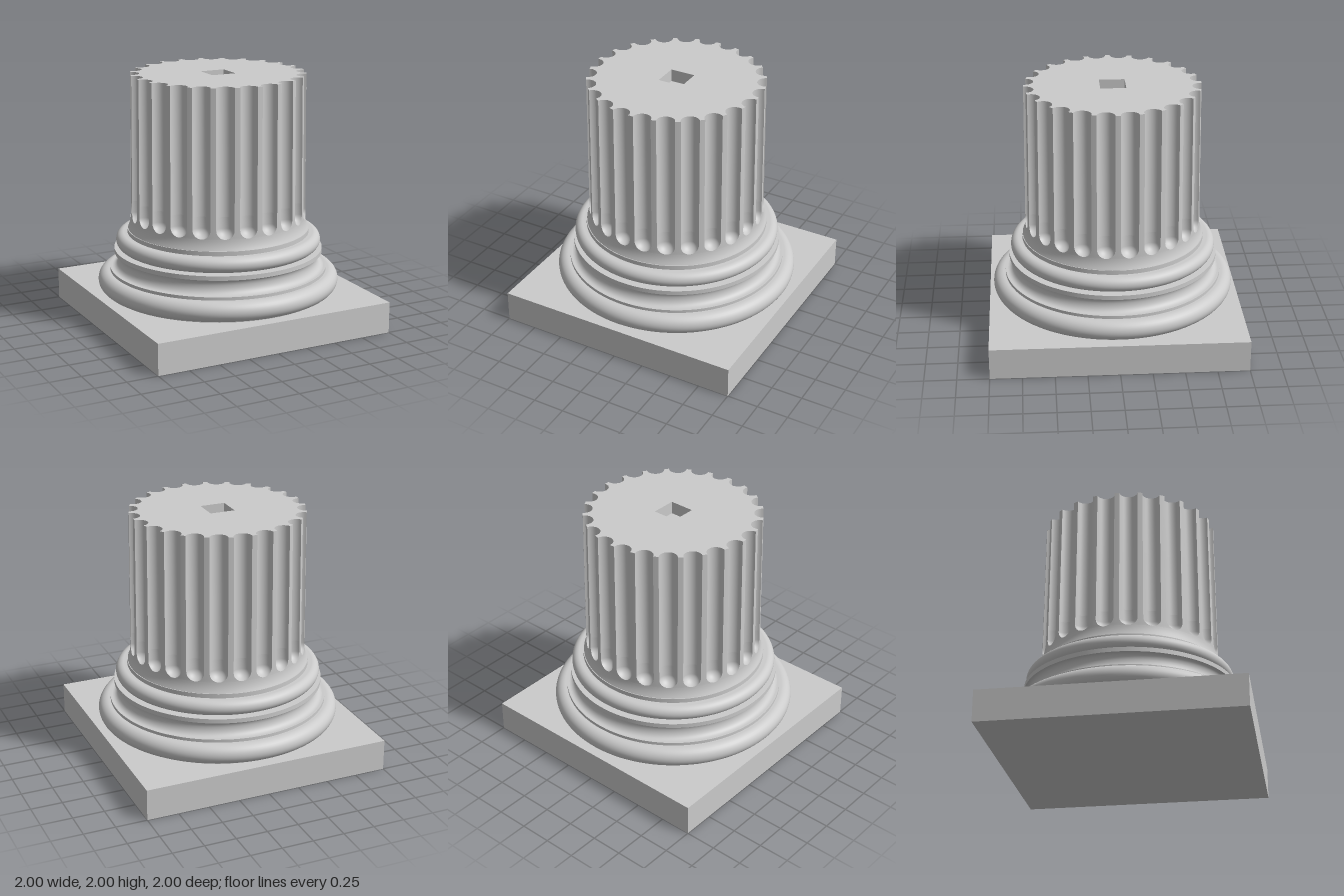
import * as THREE from 'three';
import { mergeVertices, mergeGeometries } from 'three/addons/utils/BufferGeometryUtils.js';

const material = new THREE.MeshStandardMaterial({ color: 0xcccccc });
const FLUTES = 24;
const STEP = (Math.PI * 2) / FLUTES;
const W = 0.07; // flute radius
const END_Y = 0.91; // centre of the round flute ends

// Shaft radius: slight taper upward, flaring out at the foot
const shaftRadius = (y) =>
  y > 0.86 ? 0.7 - 0.009 * (y - 0.86) : 0.7 + 0.022 * Math.pow((0.86 - y) / 0.105, 2.3);

// Half width of a flute at a height, closing in a hemisphere
const fluteHalf = (y) =>
  y >= END_Y ? W : Math.sqrt(Math.max(0, W * W - (END_Y - y) ** 2));

const polar = (r, a, y) => [r * Math.sin(a), y, r * Math.cos(a)];

// Land between two flutes, centred on angle a; u runs -1..1
function landPoint(a, y, u) {
  const r = shaftRadius(y);
  return polar(r, a + u * (STEP / 2 - Math.asin(fluteHalf(y) / r)), y);
}

// Hollow of a flute, centred on angle a; u runs -1..1
function flutePoint(a, y, u) {
  const r = shaftRadius(y), w = fluteHalf(y);
  const t = (u * Math.PI) / 2;
  const x = w * Math.sin(t), z = Math.sqrt(r * r - w * w) - w * Math.cos(t);
  return polar(Math.hypot(x, z), a + Math.atan2(x, z), y);
}

// Surface over the given heights, with columns from u = -1 to 1
function strip(pointAt, a, heights, cols) {
  const pos = [], index = [];
  heights.forEach((y, i) => {
    for (let j = 0; j <= cols; j++) {
      pos.push(...pointAt(a, y, (2 * j) / cols - 1));
      if (i && j) {
        const d = i * (cols + 1) + j, c = d - 1, b = d - cols - 1, e = b - 1;
        index.push(e, b, c, b, d, c);
      }
    }
  });
  const g = new THREE.BufferGeometry();
  g.setAttribute('position', new THREE.Float32BufferAttribute(pos, 3));
  g.setIndex(index);
  return g;
}

// The same strip repeated round the shaft, smooth within itself
function ring(pointAt, offset, heights, cols) {
  const parts = [];
  for (let k = 0; k < FLUTES; k++) parts.push(strip(pointAt, (k + offset) * STEP, heights, cols));
  const g = mergeVertices(mergeGeometries(parts), 1e-5);
  g.computeVertexNormals();
  return g;
}

// Points of an arc in the profile plane, angles in degrees
function arc(cx, cy, rx, ry, from, to, n = 16) {
  return Array.from({ length: n + 1 }, (_, i) => {
    const t = THREE.MathUtils.degToRad(from + ((to - from) * i) / n);
    return [cx + rx * Math.cos(t), cy + ry * Math.sin(t)];
  });
}

export function createModel() {
  const model = new THREE.Group();
  const add = (name, geometry, parent = model, mat = material) => {
    const mesh = new THREE.Mesh(geometry, mat);
    mesh.name = name;
    parent.add(mesh);
    return mesh;
  };
  const turn = (name, points, parent) =>
    add(name, new THREE.LatheGeometry(points.map(([r, y]) => new THREE.Vector2(r, y)), 96), parent);
  // Flat band with a sharp ledge above and below
  const band = (name, r, y0, y1, rIn, parent) => {
    turn(name + 'Underside', [[rIn, y0], [r, y0]], parent);
    turn(name, [[r, y0], [r, y1]], parent);
    turn(name + 'Top', [[r, y1], [rIn, y1]], parent);
  };

  // Square plinth
  add('plinth', new THREE.BoxGeometry(2, 0.25, 2)).position.y = 0.125;

  // Moulded base
  const base = new THREE.Group();
  base.name = 'base';
  model.add(base);
  band('bottomFillet', 0.9, 0.25, 0.26, 0.8, base);
  turn('lowerTorus', [[0.8, 0.255], ...arc(0.887, 0.335, 0.08, 0.08, -90, 90), [0.8, 0.415]], base);
  band('lowerFillet', 0.87, 0.41, 0.44, 0.8, base);
  turn('scotia', [[0.85, 0.44], ...arc(0.85, 0.51, 0.052, 0.07, 270, 180, 10),
    ...arc(0.83, 0.51, 0.032, 0.05, 180, 90, 10).slice(1)], base);
  band('upperFillet', 0.835, 0.56, 0.595, 0.74, base);
  turn('upperTorus', [[0.7, 0.6], ...arc(0.76, 0.66, 0.06, 0.06, -90, 90), [0.7, 0.72]], base);
  band('neckFillet', 0.728, 0.72, 0.755, 0.68, base);

  // Fluted shaft in two drums
  const shaft = new THREE.Group();
  shaft.name = 'shaft';
  model.add(shaft);
  const foot = Array.from({ length: 7 }, (_, i) => 0.755 + (0.085 * i) / 7);
  const ends = Array.from({ length: 13 }, (_, i) => END_Y - W * Math.cos((i * Math.PI) / 24));
  add('lowerDrumLands', ring(landPoint, 0, [...foot, ...ends, 1], 6), shaft);
  add('lowerDrumFlutes', ring(flutePoint, 0.5, [...ends, 1], 16), shaft);
  add('upperDrumLands', ring(landPoint, 0, [1, 1.5, 2], 6), shaft);
  add('upperDrumFlutes', ring(flutePoint, 0.5, [1, 1.5, 2], 16), shaft);

  // Scalloped top face with a square dowel hole
  const outline = [];
  for (let k = 0; k < FLUTES; k++) {
    for (let j = 0; j < 6; j++) outline.push(landPoint(k * STEP, 2, j / 3 - 1));
    for (let j = 0; j < 16; j++) outline.push(flutePoint((k + 0.5) * STEP, 2, j / 8 - 1));
  }
  const topShape = new THREE.Shape(outline.map(([x, , z]) => new THREE.Vector2(x, -z)));
  const h = 0.1;
  topShape.holes.push(new THREE.Path(
    [[-h, -h], [-h, h], [h, h], [h, -h]].map(([x, y]) => new THREE.Vector2(x, y))));
  const topFace = add('topFace', new THREE.ShapeGeometry(topShape), shaft);
  topFace.rotation.x = -Math.PI / 2;
  topFace.position.y = 2;

  // Walls and floor of the dowel hole
  for (let i = 0; i < 4; i++) {
    const wall = new THREE.PlaneGeometry(2 * h, 0.1);
    wall.translate(0, 1.95, -h).rotateY((i * Math.PI) / 2);
    add('dowelHoleWall', wall, shaft);
  }
  add('dowelHoleFloor', new THREE.PlaneGeometry(2 * h, 2 * h).rotateX(-Math.PI / 2).translate(0, 1.9, 0), shaft);

  return model;
}
